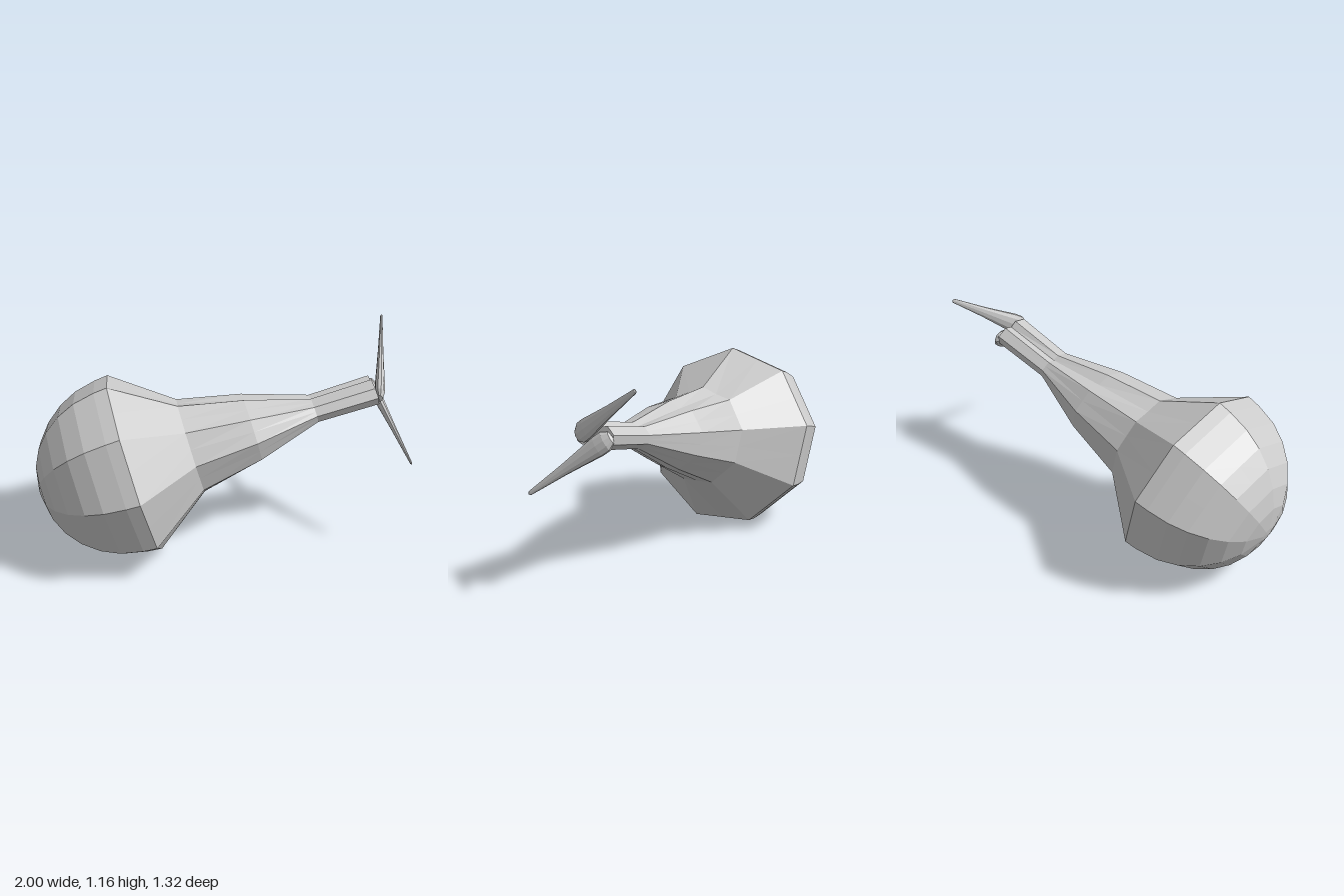
import * as THREE from 'three';

const SIDES = 9;
const PHASE = THREE.MathUtils.degToRad(-5);
const material = new THREE.MeshStandardMaterial({ color: 0xcccccc, flatShading: true, side: THREE.DoubleSide });

// Body axis runs from the bulb centre to the mouth of the neck.
const centre = new THREE.Vector3(-0.5, 0.5, -0.16);
const axis = new THREE.Vector3(0.903, 0.258, 0.344).normalize();
const across = new THREE.Vector3(0, 1, 0).cross(axis).normalize();
const up = axis.clone().cross(across);

// Skin a row of nine-sided rings: [distance along axis, half width, half height, groove depth].
function skin(rings) {
  const n = SIDES * 2;
  const pos = [];
  const index = [];
  for (const [t, rx, ry, groove] of rings) {
    for (let j = 0; j < n; j++) {
      const a = PHASE + (j * Math.PI * 2) / n;
      let k = j % 2 ? Math.cos(Math.PI / SIDES) : 1;
      if (j === 1 || j === 10) k *= 1 - groove; // crease above and below
      pos.push(Math.sin(a) * rx * k, Math.cos(a) * ry * k, t);
    }
  }
  for (let r = 0; r < rings.length - 1; r++) {
    for (let j = 0; j < n; j++) {
      const a = r * n + j;
      const b = r * n + ((j + 1) % n);
      index.push(a, a + n, b + n, a, b + n, b);
    }
  }
  const geo = new THREE.BufferGeometry();
  geo.setAttribute('position', new THREE.Float32BufferAttribute(pos, 3));
  geo.setIndex(index);
  geo.computeVertexNormals();
  return geo;
}

// Flattened tusk with a rounded root, tapering to a thin tip.
function makeSpike(name, root, tip) {
  const dir = tip.clone().sub(root);
  const len = dir.length();
  dir.normalize();
  const profile = [[0, -0.025], [0.035, -0.015], [0.055, 0.02], [0.055, 0.07], [0.042, 0.18],
    [0.03, len * 0.55], [0.012, len - 0.01], [0, len]].map(([x, y]) => new THREE.Vector2(x, y));
  const mesh = new THREE.Mesh(new THREE.LatheGeometry(profile, 10), material);
  mesh.name = name;
  const thin = axis.clone().addScaledVector(dir, -axis.dot(dir)).normalize();
  const wide = dir.clone().cross(thin);
  mesh.quaternion.setFromRotationMatrix(new THREE.Matrix4().makeBasis(wide, dir, thin));
  mesh.position.copy(root);
  mesh.scale.z = 0.5;
  return mesh;
}

export function createModel() {
  const model = new THREE.Group();
  model.name = 'bulbWithSpikes';

  const body = new THREE.Group();
  body.name = 'body';
  body.position.copy(centre);
  body.quaternion.setFromRotationMatrix(new THREE.Matrix4().makeBasis(across, up, axis));
  model.add(body);

  // Rounded rear dome
  const dome = [-0.508, -0.48, -0.43, -0.36, -0.27, -0.17, -0.05].map((t) => {
    const r = Math.sqrt(0.51 * 0.51 - t * t);
    return [t, r, r, 0];
  });
  dome.unshift([-0.512, 0, 0, 0]);
  dome.push([0.025, 0.515, 0.515, 0]);
  const bulb = new THREE.Mesh(skin(dome), material);
  bulb.name = 'bulbDome';
  body.add(bulb);

  // Shoulder and creased neck, closed at the mouth
  const neck = new THREE.Mesh(skin([
    [0.025, 0.515, 0.515, 0],
    [0.35, 0.27, 0.275, 0.02],
    [0.7, 0.218, 0.188, 0.1],
    [1.054, 0.11, 0.068, 0.2],
    [1.4, 0.118, 0.072, 0.35],
    [1.4, 0, 0, 0],
  ]), material);
  neck.name = 'neck';
  body.add(neck);

  // Crossed spikes at the mouth
  model.add(
    makeSpike('upperSpike', new THREE.Vector3(0.75, 0.86, 0.4), new THREE.Vector3(0.99, 1.165, 0.055)),
    makeSpike('lowerSpike', new THREE.Vector3(0.805, 0.86, 0.24), new THREE.Vector3(0.8, 0.545, 0.66)),
  );
  return model;
}
